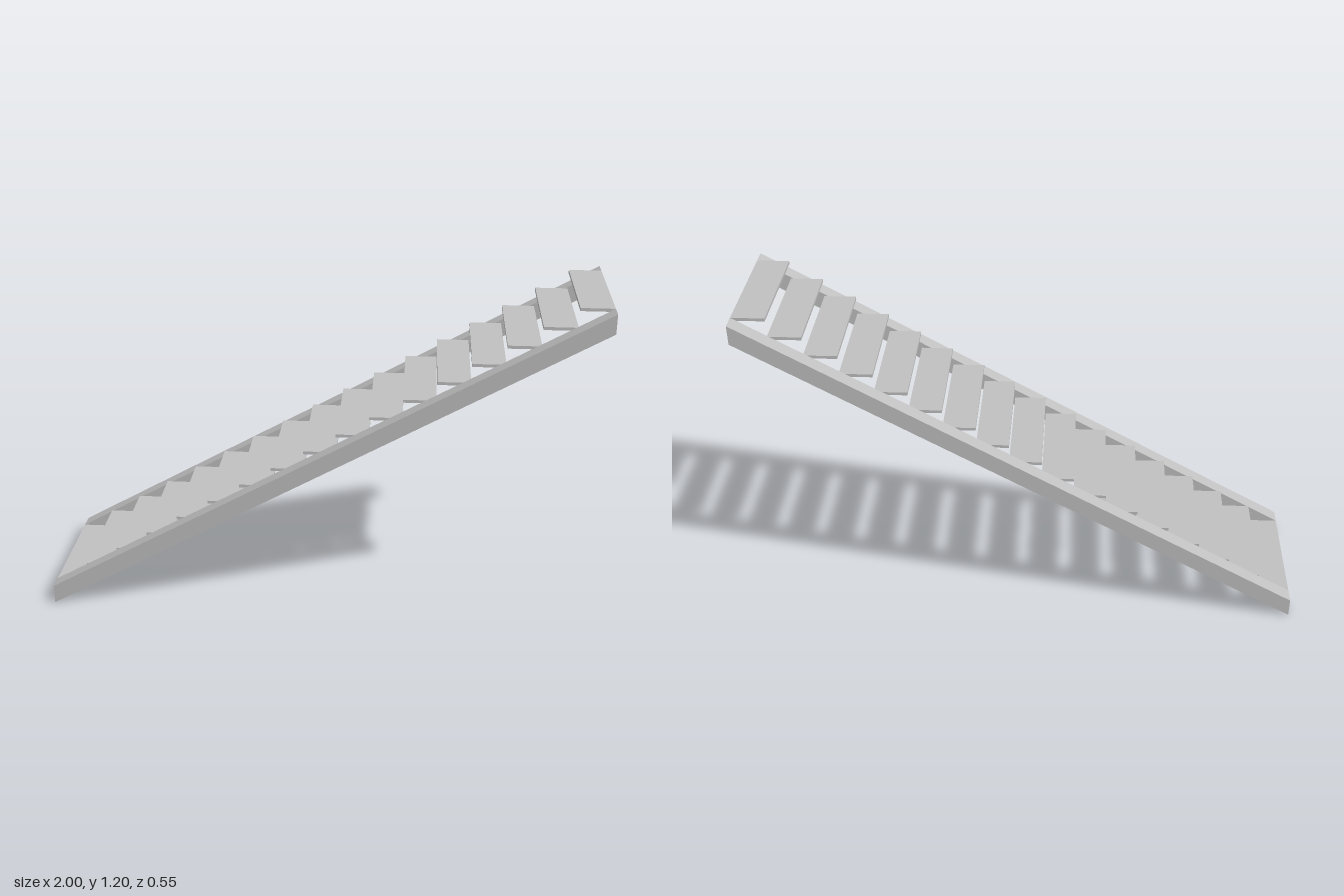
import * as THREE from 'three';

const STEPS = 17;
const HEIGHT = 1.2;
const RUN = 2 / STEPS;
const RISE = HEIGHT / STEPS;
const INNER = 0.217; // half the clear width between stringers
const OUTER = 0.276; // half the overall width
const TREAD_THICKNESS = 0.011;

export function createModel() {
  const model = new THREE.Group();
  model.name = 'staircase';
  const grey = new THREE.MeshStandardMaterial({ color: 0xc0c0c0 });
  grey.name = 'light grey';

  // Sloping side beams with plumb-cut ends
  const profile = new THREE.Shape([
    new THREE.Vector2(-1, 0),
    new THREE.Vector2(1, HEIGHT - RISE),
    new THREE.Vector2(1, HEIGHT),
    new THREE.Vector2(-1, RISE),
  ]);
  const beam = new THREE.ExtrudeGeometry(profile, { depth: OUTER - INNER, bevelEnabled: false });
  for (const [name, z] of [['frontStringer', INNER], ['backStringer', -OUTER]]) {
    const stringer = new THREE.Mesh(beam, grey);
    stringer.name = name;
    stringer.position.z = z;
    model.add(stringer);
  }

  // Thin open treads between the stringers
  const board = new THREE.BoxGeometry(RUN, TREAD_THICKNESS, INNER * 2);
  for (let i = 0; i < STEPS; i++) {
    const tread = new THREE.Mesh(board, grey);
    tread.name = `tread${i + 1}`;
    tread.position.set(-1 + RUN * (i + 0.5), RISE * (i + 1) - TREAD_THICKNESS / 2, 0);
    model.add(tread);
  }
  return model;
}
